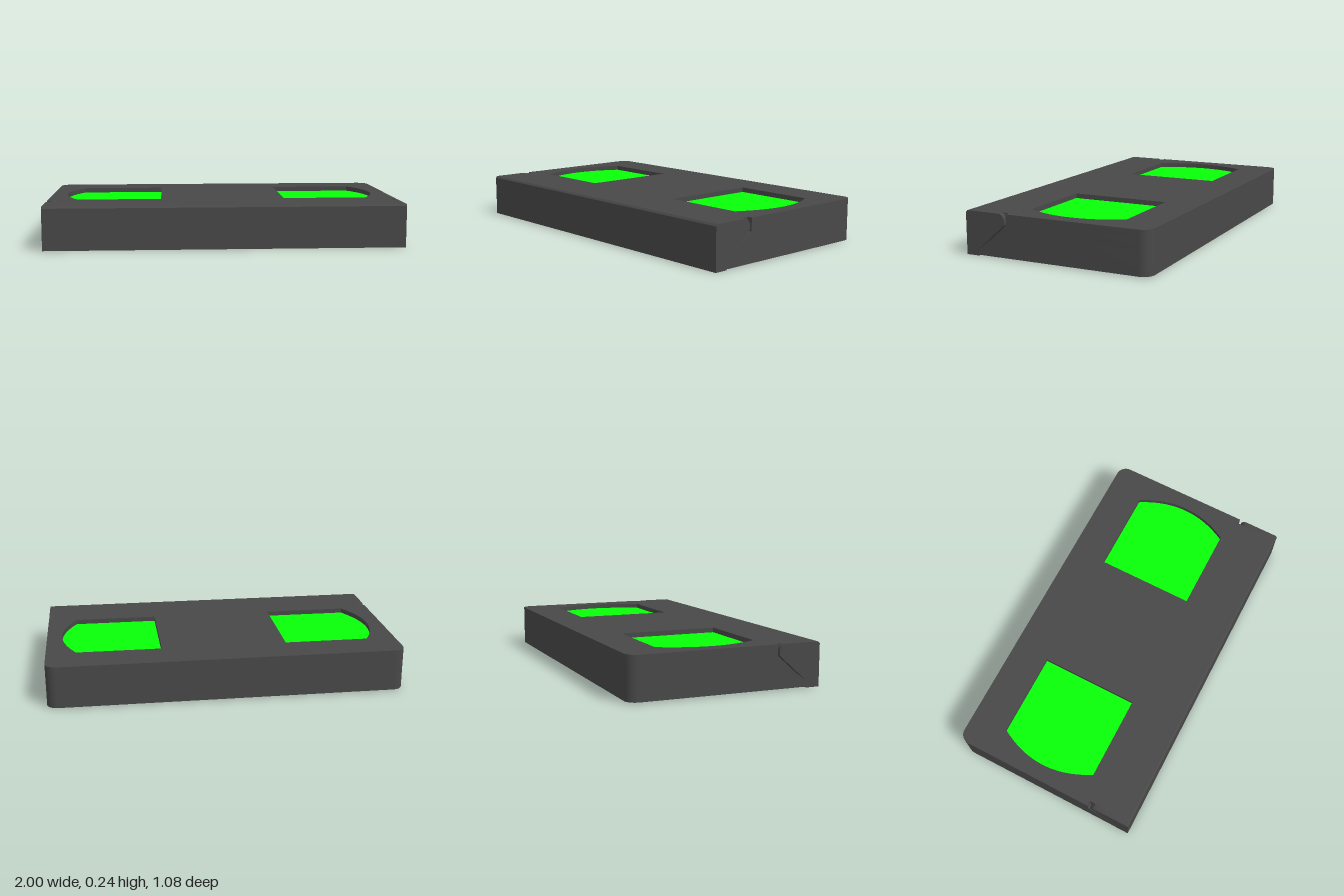
import * as THREE from 'three';
import { toCreasedNormals } from 'three/addons/utils/BufferGeometryUtils.js';

const dark = new THREE.MeshStandardMaterial({ color: 0x484848 });
const green = new THREE.MeshStandardMaterial({ color: 0x08ff08 });

const BOTTOM = 0.005, WELL_TOP = 0.14, WINDOW_Y = 0.215, TOP = 0.242;
const BACK = -0.54, CORE_FRONT = 0.51, FRONT = 0.54, CHEEK = 0.03, SLOT_Z = 0.288;
const REEL_X = 0.488, REEL_Z = -0.05;

const points = (list) => list.map(([a, b]) => new THREE.Vector2(a, b));

function extrude(shape, depth) {
  const geometry = new THREE.ExtrudeGeometry(shape, { depth, bevelEnabled: false, curveSegments: 24 });
  return toCreasedNormals(geometry, 0.5);
}

function addMesh(parent, name, geometry, material = dark) {
  const mesh = new THREE.Mesh(geometry, material);
  mesh.name = name;
  parent.add(mesh);
  return mesh;
}

// Plan shape (x, z) made solid between two heights
function addSlab(parent, name, shape, low, high, material) {
  const geometry = extrude(shape, high - low).rotateX(Math.PI / 2).translate(0, high, 0);
  return addMesh(parent, name, geometry, material);
}

// Side profile (z, y) made solid from xHigh down by width
function addProfile(parent, name, shape, xHigh, width) {
  const geometry = extrude(shape, width).rotateY(-Math.PI / 2).translate(xHigh, 0, 0);
  return addMesh(parent, name, geometry);
}

// Footprint with rounded back corners, narrower between the lid cheeks;
// notches are rows of points let into the front edge, ordered from +x to -x
function footprint(notches = []) {
  const r = 0.06, inner = 1 - CHEEK;
  const s = new THREE.Shape();
  s.moveTo(-1 + r, BACK);
  s.lineTo(1 - r, BACK);
  s.absarc(1 - r, BACK + r, r, -Math.PI / 2, 0, false);
  s.lineTo(1, SLOT_Z);
  s.lineTo(inner, SLOT_Z);
  s.lineTo(inner, CORE_FRONT);
  notches.forEach((notch) => notch.forEach(([x, z]) => s.lineTo(x, z)));
  s.lineTo(-inner, CORE_FRONT);
  s.lineTo(-inner, SLOT_Z);
  s.lineTo(-1, SLOT_Z);
  s.lineTo(-1, BACK + r);
  s.absarc(-1 + r, BACK + r, r, Math.PI, Math.PI * 1.5, false);
  return s;
}

// Window outline with a bowed outer edge; side is +1 or -1
function windowOutline(side, Type) {
  const path = new Type();
  path.moveTo(side * 0.355, -0.33);
  path.lineTo(side * 0.832, -0.33);
  path.quadraticCurveTo(side * 0.995, -0.048, side * 0.832, 0.235);
  path.lineTo(side * 0.355, 0.235);
  path.closePath();
  return path;
}

// Toothed drive socket cut through the hub
function toothedHole(teeth, outer, inner) {
  const list = [];
  for (let i = 0; i < teeth; i++) {
    [[0, outer], [0.5, outer], [0.58, inner], [0.92, inner]].forEach(([t, r]) => {
      const a = ((i + t) / teeth) * Math.PI * 2;
      list.push([Math.cos(a) * r, Math.sin(a) * r]);
    });
  }
  return new THREE.Path(points(list));
}

export function createModel() {
  const model = new THREE.Group();
  model.name = 'videoCassette';

  // Lower shell with reel wells and tape guide notches
  const lower = footprint([
    [[0.85, CORE_FRONT], [0.84, 0.44], [0.78, 0.44], [0.77, CORE_FRONT]],
    [[0.68, CORE_FRONT], [0.62, 0.49], [0.56, 0.465], [0.42, 0.455], [0.38, CORE_FRONT]],
    [[0.01, CORE_FRONT], [-0.12, 0.33], [-0.28, 0.33], [-0.31, CORE_FRONT]],
    [[-0.5, CORE_FRONT], [-0.55, 0.46], [-0.645, 0.40], [-0.82, 0.36], [-0.92, CORE_FRONT]],
  ]);
  for (const side of [1, -1]) {
    lower.holes.push(new THREE.Path().absarc(side * REEL_X, REEL_Z, 0.215, 0, Math.PI * 2, true));
  }
  addSlab(model, 'lowerShell', lower, BOTTOM, WELL_TOP);

  // Solid middle and top plate with window openings
  addSlab(model, 'middleShell', footprint(), WELL_TOP, WINDOW_Y - 0.01);
  const upper = footprint();
  for (const side of [1, -1]) upper.holes.push(windowOutline(side, THREE.Path));
  addSlab(model, 'topPlate', upper, WINDOW_Y - 0.01, TOP);

  for (const side of [1, -1]) {
    const prefix = side > 0 ? 'left' : 'right';

    // Recessed coloured window
    addSlab(model, prefix + 'Window', windowOutline(side, THREE.Shape), WINDOW_Y - 0.01, WINDOW_Y, green);

    // Reel hub in its well
    const hub = new THREE.Shape().absarc(0, 0, 0.207, 0, Math.PI * 2, false);
    hub.holes.push(toothedHole(10, 0.13, 0.1));
    const reel = addSlab(model, prefix + 'Reel', hub, 0.035, WELL_TOP);
    reel.position.set(side * REEL_X, 0, REEL_Z);

    // Shell wedge below the slanted gap
    const xHigh = side > 0 ? 1 : -1 + CHEEK;
    const wedge = new THREE.Shape(points([
      [SLOT_Z, BOTTOM], [0.465, BOTTOM], [0.465, 0.035], [SLOT_Z, 0.17],
    ]));
    addProfile(model, prefix + 'ShellWedge', wedge, xHigh, CHEEK);

    // Lid cheek with a rounded rear corner
    const cheek = new THREE.Shape();
    cheek.moveTo(0.465, 0);
    cheek.lineTo(CORE_FRONT, 0);
    cheek.lineTo(CORE_FRONT, TOP);
    cheek.lineTo(0.33, TOP);
    cheek.bezierCurveTo(0.305, 0.235, 0.295, 0.205, 0.302, 0.18);
    cheek.lineTo(0.465, 0.035);
    addProfile(model, prefix + 'LidCheek', cheek, xHigh, CHEEK);
  }

  // Front lid with a bevelled top edge
  const lid = new THREE.Shape(points([
    [CORE_FRONT, 0], [FRONT, 0], [FRONT, TOP - 0.01], [FRONT - 0.01, TOP], [CORE_FRONT, TOP],
  ]));
  addProfile(model, 'frontLid', lid, 1, 2);

  return model;
}
